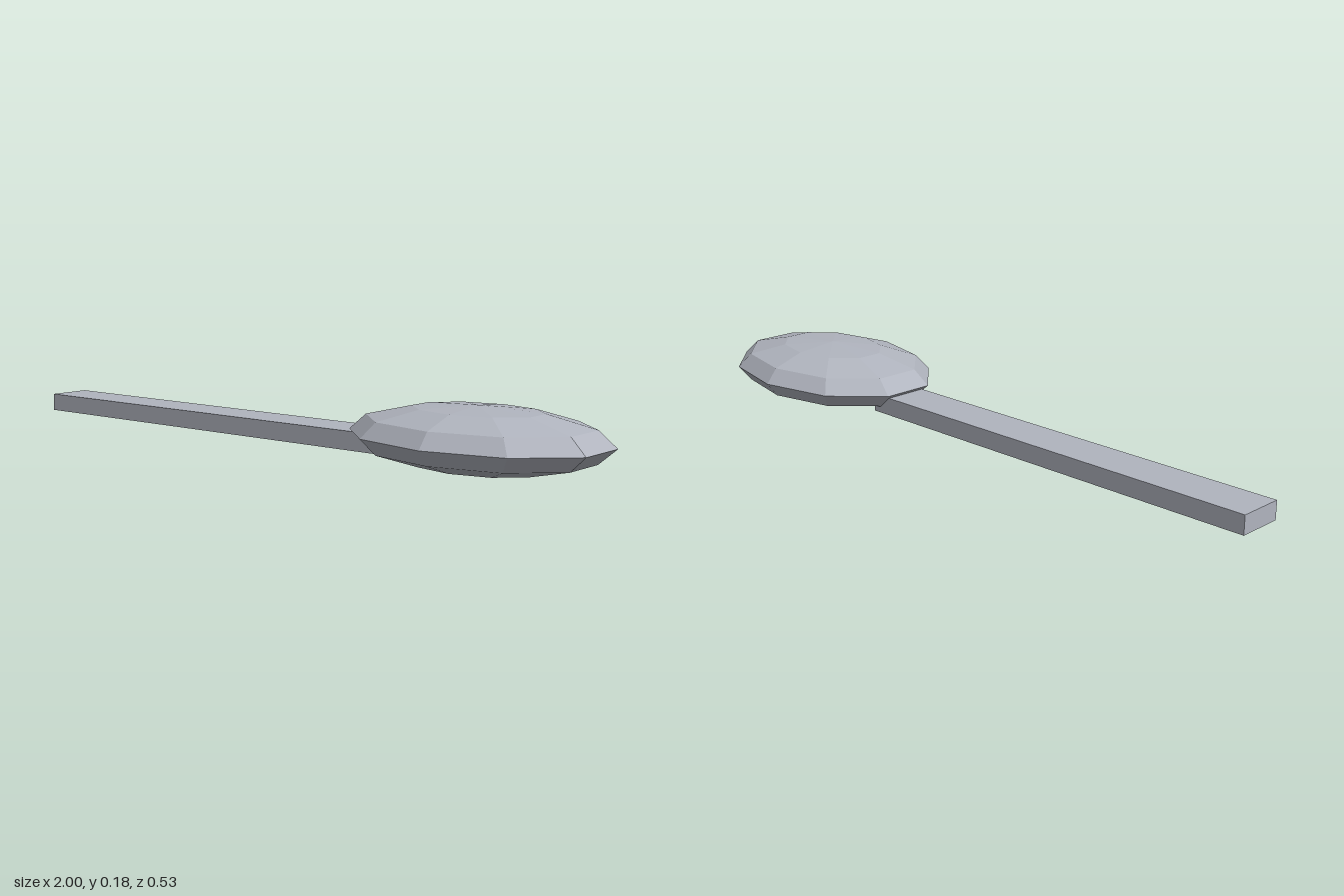
import * as THREE from 'three';

export function createModel() {
  const model = new THREE.Group();
  model.name = 'spoon';

  const metal = new THREE.MeshStandardMaterial({ color: 0xb0b4be, flatShading: true });
  metal.name = 'pale grey metal';

  // Bowl: coarse flattened ellipsoid, with corners at its front and back
  const bowlGeometry = new THREE.SphereGeometry(1, 10, 6, Math.PI / 2);
  bowlGeometry.scale(0.38, 0.088, 0.264);
  const bowl = new THREE.Mesh(bowlGeometry, metal);
  bowl.name = 'bowl';
  bowl.position.set(0.638, 0.088, 0);
  model.add(bowl);

  // Handle: straight bar whose end runs under and into the bowl
  const start = -1, end = 0.355;
  const handle = new THREE.Mesh(new THREE.BoxGeometry(end - start, 0.054, 0.136), metal);
  handle.name = 'handle';
  handle.position.set((start + end) / 2, 0.05, 0);
  model.add(handle);

  return model;
}
